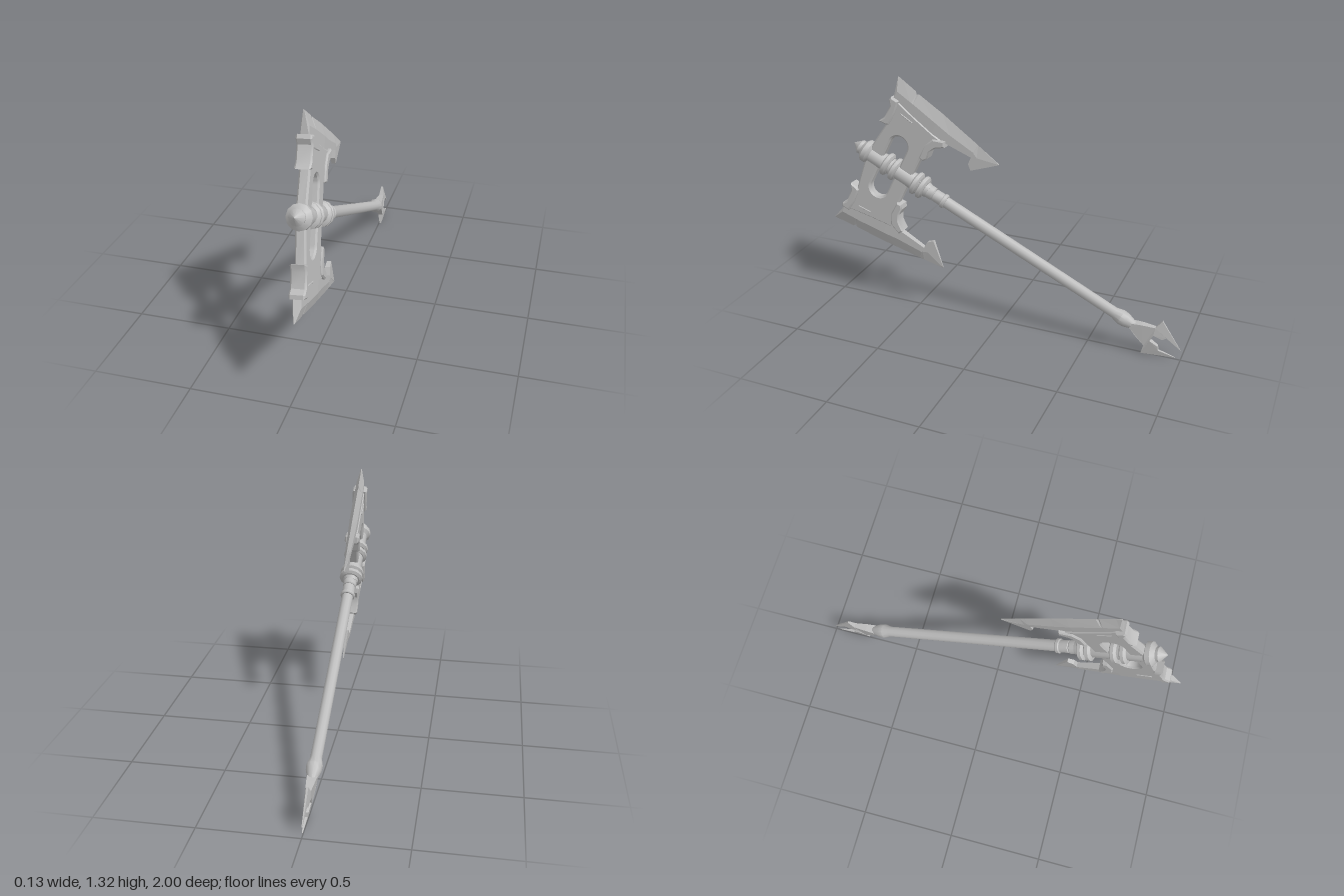
import * as THREE from 'three';
import { toCreasedNormals } from 'three/addons/utils/BufferGeometryUtils.js';

// Local frame: x runs along the shaft toward the head, y across it, z is thickness.
const steel = new THREE.MeshStandardMaterial({ color: 0xbcbcbc });
steel.name = 'steel';

function part(name, geometry, parent) {
  const mesh = new THREE.Mesh(geometry, steel);
  mesh.name = name;
  parent.add(mesh);
  return mesh;
}

// Turned piece about the shaft axis; profile is [position, radius] in rising order
function turned(profile, sides = 12) {
  const g = new THREE.LatheGeometry(profile.map(([x, r]) => new THREE.Vector2(r, x)), sides);
  g.rotateZ(-Math.PI / 2);
  return toCreasedNormals(g, 0.6);
}

// Bevelled plate centred on z = 0
function plate(points, thickness, bevel, hole) {
  const shape = new THREE.Shape(points.map(([x, y]) => new THREE.Vector2(x, y)));
  if (hole) shape.holes.push(hole);
  const g = new THREE.ExtrudeGeometry(shape, {
    depth: thickness - 2 * bevel, bevelEnabled: bevel > 0, bevelThickness: bevel,
    bevelSize: bevel, bevelOffset: -bevel, bevelSegments: 1, curveSegments: 8,
  });
  g.translate(0, 0, bevel - thickness / 2);
  return toCreasedNormals(g, 0.5);
}

// Blade lofted from stations: [x, inner y, ridge y, edge y, half thickness]
function bladeGeometry() {
  const stations = [
    [0.218, 0.468, 0.471, 0.474, 0.003],
    [0.186, 0.355, 0.405, 0.469, 0.021],
    [0.098, 0.30, 0.395, 0.455, 0.022],
    [0.089, 0.30, 0.394, 0.440, 0.022],
    [0.078, 0.30, 0.393, 0.450, 0.022],
    [-0.08, 0.26, 0.370, 0.430, 0.022],
    [-0.17, 0.302, 0.355, 0.414, 0.019],
    [-0.322, 0.311, 0.342, 0.388, 0.014],
    [-0.324, 0.271, 0.338, 0.387, 0.013],
    [-0.351, 0.244, 0.325, 0.382, 0.011],
    [-0.467, 0.354, 0.357, 0.360, 0.002],
  ];
  const pos = [], idx = [];
  stations.forEach(([x, inner, ridge, edge, h], k) => {
    pos.push(x, inner, h, x, ridge, h, x, edge, 0, x, ridge, -h, x, inner, -h);
    if (k === 0) return;
    for (let j = 0; j < 5; j++) {
      const a = (k - 1) * 5 + j, b = (k - 1) * 5 + (j + 1) % 5;
      idx.push(a, b, b + 5, a, b + 5, a + 5);
    }
  });
  const end = (stations.length - 1) * 5;
  for (let j = 1; j < 4; j++) idx.push(0, j + 1, j, end, end + j, end + j + 1);
  const g = new THREE.BufferGeometry();
  g.setAttribute('position', new THREE.Float32BufferAttribute(pos, 3));
  g.setIndex(idx);
  const flat = g.toNonIndexed();
  flat.computeVertexNormals();
  return flat;
}

// Close a half outline by reflecting it across the shaft axis
const mirrored = (half) => [...half, ...half.slice().reverse().map(([x, y]) => [x, -y])];

export function createModel() {
  const root = new THREE.Group();
  root.name = 'battleAxe';
  const lean = new THREE.Group();
  lean.name = 'leaningFrame';
  const s = Math.sin(0.452), c = Math.cos(0.452);
  lean.quaternion.setFromRotationMatrix(new THREE.Matrix4().makeBasis(
    new THREE.Vector3(0, s, c), new THREE.Vector3(0, c, -s), new THREE.Vector3(-1, 0, 0)));
  lean.position.set(0, 0.806, 0.6);
  root.add(lean);
  const axe = new THREE.Group();
  axe.name = 'axe';
  axe.rotation.x = 0.07;
  lean.add(axe);

  // Shaft with its flared end socket
  part('shaft', turned([
    [-1.52, 0], [-1.52, 0.014], [-1.445, 0.038], [-1.415, 0.04], [-1.375, 0.029],
    [-0.3, 0.031], [-0.2, 0.031], [-0.2, 0],
  ]), axe);

  // Sleeve through the head, and the pointed cap
  part('headSleeve', turned([[-0.2, 0], [-0.2, 0.038], [-0.17, 0.046], [0.19, 0.046], [0.19, 0]]), axe);
  part('endCap', turned([
    [0.175, 0], [0.175, 0.046], [0.19, 0.063], [0.215, 0.063],
    [0.235, 0.038], [0.25, 0.04], [0.292, 0],
  ]), axe);

  // Raised rings on the sleeve
  for (const x of [0.07, 0.018, -0.122, -0.162]) {
    part('sleeveRing', turned([
      [x - 0.019, 0.04], [x - 0.019, 0.05], [x - 0.009, 0.065],
      [x + 0.009, 0.065], [x + 0.019, 0.05], [x + 0.019, 0.04],
    ]), axe);
  }

  // Narrow ferrules behind the head
  for (const [from, to, r] of [[-0.235, -0.195, 0.037], [-0.3, -0.235, 0.034], [-0.312, -0.288, 0.04]]) {
    part('ferrule', turned([
      [from, 0.028], [from, r - 0.004], [from + 0.005, r], [to - 0.005, r], [to, r - 0.004], [to, 0.028],
    ]), axe);
  }

  // Head plate with a long rounded slot
  const slot = new THREE.Path();
  slot.moveTo(0.106, -0.14);
  slot.lineTo(0.106, 0.14);
  slot.absarc(0.053, 0.14, 0.053, 0, Math.PI, false);
  slot.lineTo(0, -0.14);
  slot.absarc(0.053, -0.14, 0.053, Math.PI, 2 * Math.PI, false);
  part('headPlate', plate(mirrored([
    [-0.085, 0.06], [-0.085, 0.17], [-0.1, 0.25], [-0.165, 0.302], [-0.09, 0.312],
    [0.05, 0.338], [0.178, 0.366], [0.166, 0.21], [0.188, 0.06],
  ]), 0.054, 0.009, slot), axe);

  // Each side of the head; the second is turned half way round the shaft
  const blade = bladeGeometry();
  const frontClamp = plate([
    [0.148, 0.222], [0.163, 0.212], [0.206, 0.21], [0.187, 0.245], [0.184, 0.32],
    [0.203, 0.345], [0.199, 0.366], [0.152, 0.366], [0.143, 0.30],
  ], 0.078, 0.008);
  const backClamp = plate([
    [-0.078, 0.152], [-0.075, 0.23], [-0.1, 0.288], [-0.163, 0.314], [-0.178, 0.284],
    [-0.134, 0.25], [-0.116, 0.215], [-0.12, 0.172], [-0.105, 0.15],
  ], 0.074, 0.007);
  const rib = plate([[0.11, 0.305], [0.115, 0.313], [0.035, 0.305], [0.035, 0.297]], 0.062, 0.002);
  for (const [name, turn] of [['upperHead', 0], ['lowerHead', Math.PI]]) {
    const side = new THREE.Group();
    side.name = name;
    side.rotation.x = turn;
    axe.add(side);
    part('blade', blade, side);
    part('frontClamp', frontClamp, side);
    part('backClamp', backClamp, side);
    part('plateRib', rib, side);
  }

  // Forked spike at the shaft's end, thinned toward its points
  const fork = plate(mirrored([
    [-1.605, 0.02], [-1.655, 0.024], [-1.668, 0.044], [-1.762, 0.026],
    [-1.603, 0.115], [-1.592, 0.062], [-1.525, 0.036], [-1.48, 0.014],
  ]), 0.056, 0);
  const p = fork.attributes.position;
  for (let i = 0; i < p.count; i++) {
    const d = Math.hypot(p.getX(i) + 1.5, 1.6 * p.getY(i));
    p.setZ(i, p.getZ(i) * Math.max(0.08, 1 - d / 0.26));
  }
  fork.computeVertexNormals();
  part('forkedSpike', fork, axe);

  return root;
}
